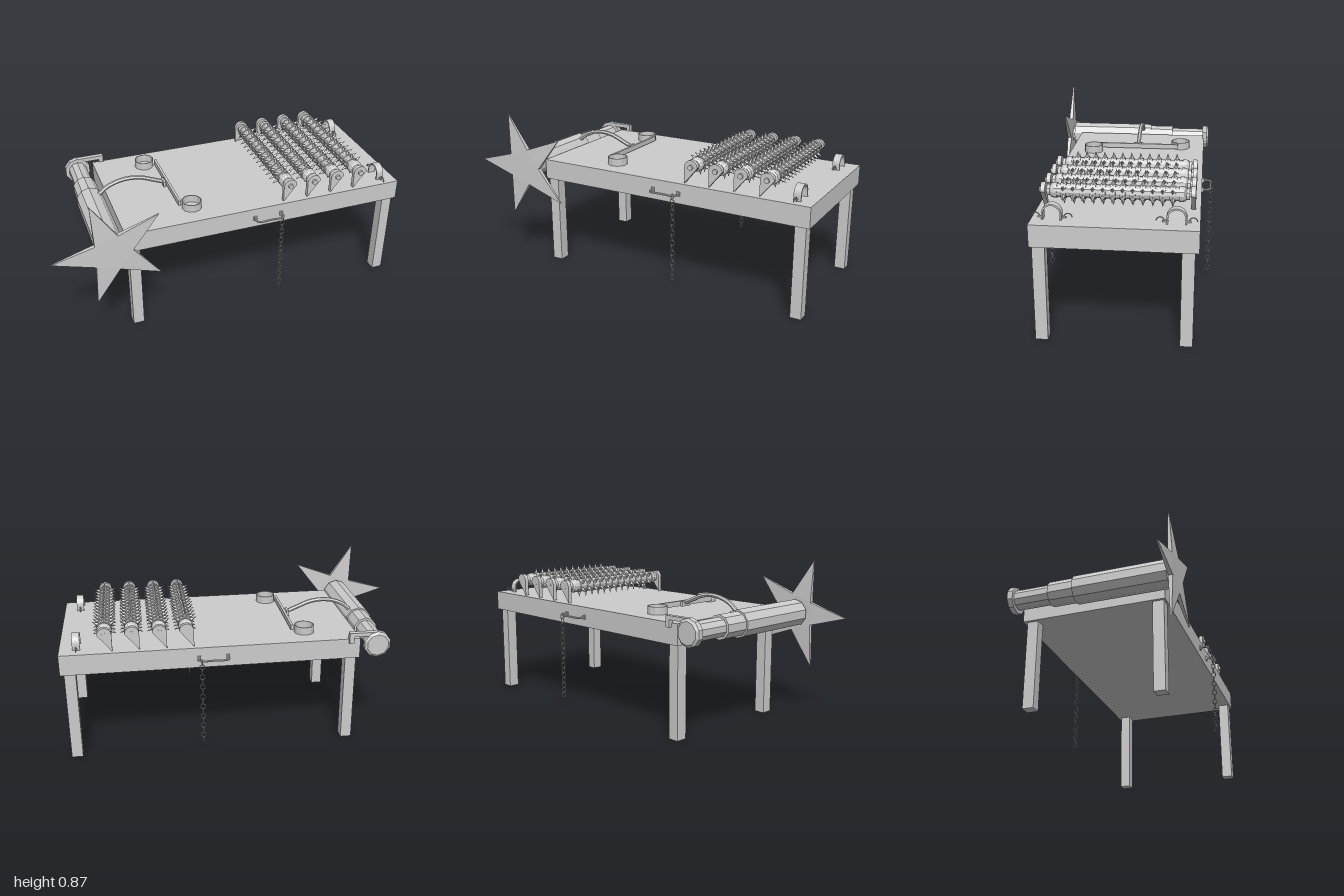
import * as THREE from 'three';

const material = new THREE.MeshStandardMaterial({ color: 0xcccccc, flatShading: true, side: THREE.DoubleSide });
const MID_Z = -0.015;

function add(parent, name, geometry, x = 0, y = 0, z = 0) {
  const mesh = new THREE.Mesh(geometry, material);
  mesh.name = name;
  mesh.position.set(x, y, z);
  parent.add(mesh);
  return mesh;
}

function subgroup(parent, name, x = 0, y = 0, z = 0) {
  const g = new THREE.Group();
  g.name = name;
  g.position.set(x, y, z);
  parent.add(g);
  return g;
}

// Turned solid along z from [radius, z] pairs, z ascending
function turned(profile, sides) {
  const points = profile.map(([r, z]) => new THREE.Vector2(r, z));
  return new THREE.LatheGeometry(points, sides).rotateX(Math.PI / 2);
}

function tube(points, radius, segments = 16, sides = 6) {
  const curve = new THREE.CatmullRomCurve3(points.map(p => new THREE.Vector3(...p)));
  return new THREE.TubeGeometry(curve, segments, radius, sides);
}

// Five-pointed wheel, thinning towards its tips
function starGeometry(outer, inner, thickness) {
  const shape = new THREE.Shape();
  for (let i = 0; i < 10; i++) {
    const r = i % 2 ? inner : outer;
    const a = Math.PI + i * Math.PI / 5;
    shape[i ? 'lineTo' : 'moveTo'](r * Math.cos(a), r * Math.sin(a));
  }
  shape.closePath();
  const geo = new THREE.ExtrudeGeometry(shape, { depth: thickness, bevelEnabled: false });
  geo.translate(0, 0, -thickness / 2);
  const p = geo.attributes.position;
  for (let i = 0; i < p.count; i++) {
    if (Math.hypot(p.getX(i), p.getY(i)) > inner * 1.5) p.setZ(i, p.getZ(i) * 0.3);
  }
  geo.computeVertexNormals();
  return geo;
}

// Round-topped bearing plate, origin at the axle
function bearingGeometry(halfWidth, drop, depth) {
  const shape = new THREE.Shape();
  shape.moveTo(halfWidth, -drop);
  shape.absarc(0, 0, halfWidth, 0, Math.PI, false);
  shape.lineTo(-halfWidth, -drop);
  shape.closePath();
  return new THREE.ExtrudeGeometry(shape, { depth, bevelEnabled: false, curveSegments: 8 }).translate(0, 0, -depth / 2);
}

function buildSpikedRoller(parent, x) {
  const roller = subgroup(parent, 'spikedRoller', x, 0.702, MID_Z);
  add(roller, 'rollerCore', turned([
    [0, -0.375], [0.014, -0.375], [0.014, -0.345], [0.028, -0.345], [0.028, -0.33], [0.036, -0.322],
    [0.039, -0.31], [0.039, -0.295], [0.034, -0.295], [0.034, 0.295], [0.039, 0.295], [0.039, 0.31],
    [0.036, 0.322], [0.028, 0.33], [0.028, 0.345], [0.014, 0.345], [0.014, 0.385], [0, 0.385],
  ], 12));
  const cone = new THREE.ConeGeometry(0.014, 0.042, 4).translate(0, 0.049, 0);
  for (let ring = 0; ring < 12; ring++) {
    const z = (ring - 5.5) * 0.048;
    add(roller, 'spikeBand', turned([[0.034, -0.014], [0.039, -0.014], [0.039, 0.014], [0.034, 0.014]], 12), 0, 0, z);
    for (let i = 0; i < 6; i++) {
      add(roller, 'spike', cone, 0, 0, z).rotation.z = i * Math.PI / 3;
    }
  }
  for (const s of [-1, 1]) add(roller, 'bearingPlate', bearingGeometry(0.038, 0.092, 0.022), 0, 0, s * 0.363);
}

// Wrist hoop arched along z with a small staple at each side
function buildWristCuff(parent, z) {
  const cuff = subgroup(parent, 'wristCuff', 0.91, 0.61, z);
  const arch = new THREE.Shape();
  arch.moveTo(0.048, 0);
  arch.lineTo(0.048, 0.032);
  arch.absarc(0, 0.032, 0.048, 0, Math.PI, false);
  arch.lineTo(-0.048, 0);
  arch.lineTo(-0.04, 0);
  arch.lineTo(-0.04, 0.032);
  arch.absarc(0, 0.032, 0.04, Math.PI, 0, true);
  arch.lineTo(0.04, 0);
  arch.closePath();
  const band = new THREE.ExtrudeGeometry(arch, { depth: 0.04, bevelEnabled: false, curveSegments: 8 });
  add(cuff, 'hoop', band.translate(0, 0, -0.02).rotateY(Math.PI / 2));
  for (const s of [-1, 1]) {
    add(cuff, 'staple', new THREE.TorusGeometry(0.019, 0.003, 5, 10, Math.PI).rotateY(Math.PI / 2), 0, 0.012, s * 0.077);
    add(cuff, 'stapleTab', new THREE.BoxGeometry(0.01, 0.008, 0.025), 0, 0.012, s * 0.056);
  }
}

// Side handle with a hanging chain; side is +1 front, -1 back
function buildHandle(parent, side) {
  const edge = side > 0 ? 0.38 : -0.415;
  const handle = subgroup(parent, 'handleWithChain', 0, 0, edge);
  const out = side * 0.046;
  add(handle, 'handleBar', tube([
    [0.122, 0.555, 0], [0.12, 0.555, out * 0.7], [0.132, 0.555, out],
    [0.2, 0.555, out], [0.265, 0.555, out], [0.277, 0.555, out * 0.7], [0.275, 0.555, 0],
  ], 0.006, 30));
  for (const x of [0.122, 0.275]) {
    add(handle, 'handleMount', new THREE.BoxGeometry(0.018, 0.024, 0.01), x, 0.555, side * 0.004);
  }
  const link = new THREE.TorusGeometry(0.0135, 0.0028, 5, 6).rotateZ(Math.PI / 6).scale(1, 1.2, 1);
  for (let i = 0; i < 17; i++) {
    add(handle, 'chainLink', link, 0.264, 0.55 - i * 0.0288, out).rotation.y = i % 2 ? 0 : Math.PI / 2;
  }
}

export function createModel() {
  const model = new THREE.Group();
  model.name = 'rackTable';

  // Table
  add(model, 'tableTop', new THREE.BoxGeometry(1.6, 0.112, 0.796), 0.2, 0.556, -0.017);
  for (const x of [-0.555, 0.95]) {
    for (const z of [0.34, -0.365]) add(model, 'leg', new THREE.BoxGeometry(0.06, 0.502, 0.062), x, 0.251, z);
  }

  // Windlass drum, stepped down towards the back
  const windlass = subgroup(model, 'windlass', -0.69, 0.58, 0);
  add(windlass, 'drum', turned([
    [0, -0.445], [0.06, -0.445], [0.074, -0.435], [0.074, -0.405], [0.053, -0.405], [0.053, -0.21],
    [0.066, -0.21], [0.066, -0.07], [0.075, -0.07], [0.075, 0.435], [0.048, 0.435], [0.048, 0.465], [0, 0.465],
  ], 10));
  add(windlass, 'starWheel', starGeometry(0.31, 0.108, 0.024), 0, 0, 0.462);

  // Latch bar from the drum's back end to the table
  const latch = subgroup(model, 'latch', 0, 0, -0.42);
  add(latch, 'latchBar', new THREE.BoxGeometry(0.15, 0.022, 0.028), -0.61, 0.64, 0);
  add(latch, 'latchHook', new THREE.BoxGeometry(0.025, 0.06, 0.028), -0.547, 0.62, 0);

  // Curved arm and spreader bar with ankle cuffs
  const spreader = subgroup(model, 'spreader');
  add(spreader, 'curvedArm', tube([
    [-0.65, 0.63, -0.02], [-0.59, 0.675, -0.02], [-0.5, 0.7, -0.02],
    [-0.41, 0.693, -0.02], [-0.33, 0.662, -0.02], [-0.265, 0.635, -0.02],
  ], 0.012, 20));
  add(spreader, 'armJoint', new THREE.BoxGeometry(0.014, 0.03, 0.055), -0.275, 0.635, -0.02);
  add(spreader, 'crossBar', new THREE.BoxGeometry(0.014, 0.028, 0.48), -0.255, 0.635, -0.02);
  const ring = [[0.05, -0.021], [0.055, -0.021], [0.055, 0.021], [0.05, 0.021], [0.05, -0.021]];
  for (const [x, z] of [[-0.318, -0.275], [-0.195, 0.243]]) {
    add(spreader, 'ankleCuff', turned(ring, 12).rotateX(Math.PI / 2), x, 0.634, z);
  }

  // Spiked rollers, wrist cuffs, handles
  for (let i = 0; i < 4; i++) buildSpikedRoller(model, 0.335 + i * 0.142);
  for (const z of [0.282, -0.305]) buildWristCuff(model, z);
  for (const side of [1, -1]) buildHandle(model, side);

  return model;
}
